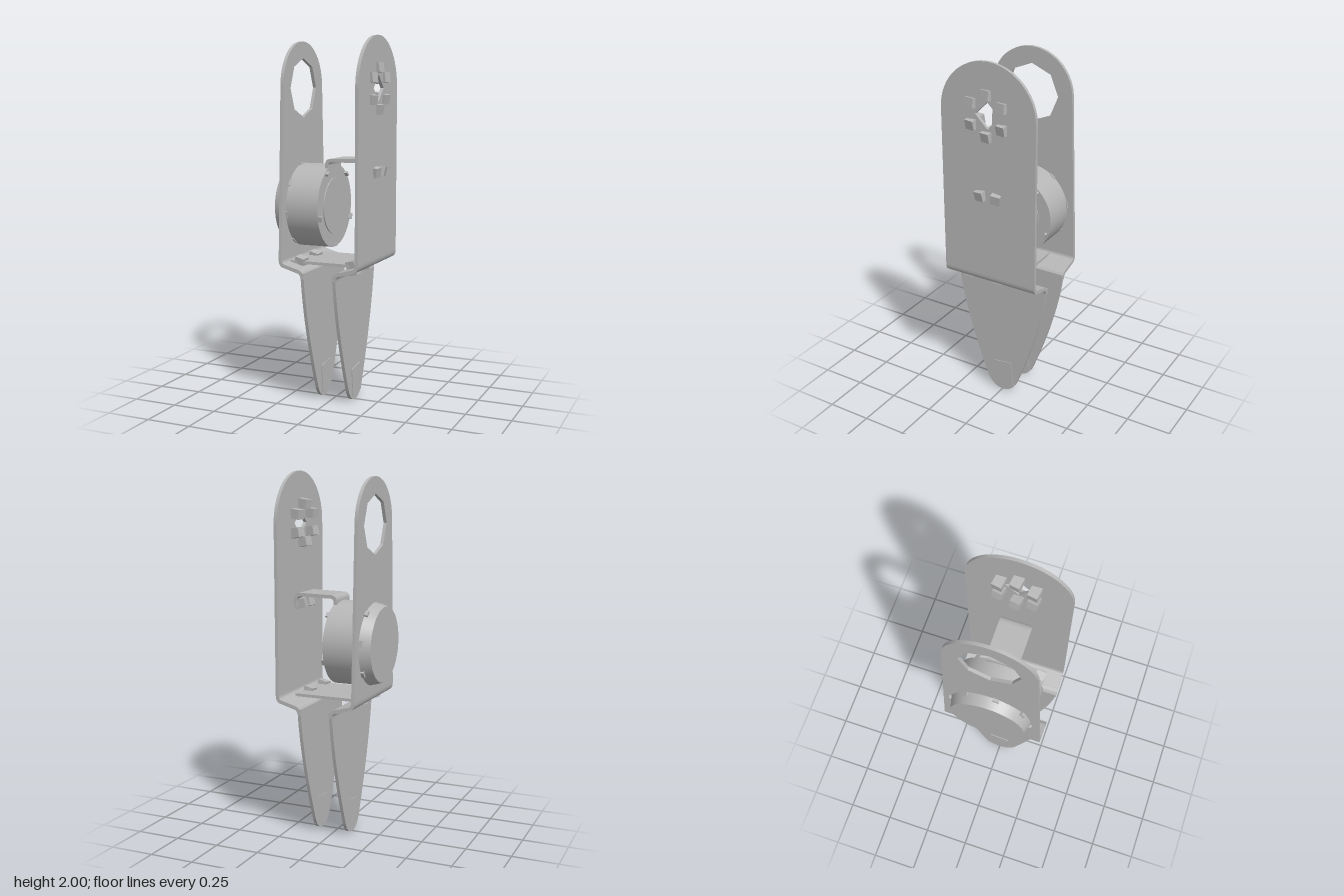
import * as THREE from 'three';

const metal = new THREE.MeshStandardMaterial({ color: 0xb6b6b6 });
metal.name = 'grey metal';

export function createModel() {
  const model = new THREE.Group();
  model.name = 'gripperBracket';

  const add = (geometry, name, x = 0, y = 0, z = 0) => {
    const mesh = new THREE.Mesh(geometry, metal);
    mesh.name = name;
    mesh.position.set(x, y, z);
    model.add(mesh);
    return mesh;
  };
  const box = (name, size, pos, rot = [0, 0, 0]) => {
    add(new THREE.BoxGeometry(...size), name, ...pos).rotation.set(...rot);
  };
  // Sheet lying in the z-y plane, from x to x + t (shape x runs along -z)
  const sheet = (shape, name, x, t) => {
    const g = new THREE.ExtrudeGeometry(shape, { depth: t, bevelEnabled: false, curveSegments: 28 });
    add(g.rotateY(Math.PI / 2), name, x);
  };
  const drumPart = (name, rLeft, rRight, x0, x1) => {
    const g = new THREE.CylinderGeometry(rRight, rLeft, x1 - x0, 64);
    add(g.rotateZ(-Math.PI / 2), name, (x0 + x1) / 2, 1.085, -0.003);
  };

  // Upright side plates with a round top and a polygonal hole
  const plate = (name, x, wBottom, r, yTop, holeSides, holeR) => {
    const s = new THREE.Shape();
    s.moveTo(-wBottom, 0.815);
    s.lineTo(wBottom, 0.815);
    s.lineTo(r, yTop - r);
    s.absarc(0, yTop - r, r, 0, Math.PI, false);
    s.closePath();
    const hole = [];
    for (let i = 0; i < holeSides; i++) {
      const a = -i / holeSides * Math.PI * 2;
      hole.push(new THREE.Vector2(holeR * Math.cos(a), 1.723 + holeR * Math.sin(a)));
    }
    s.holes.push(new THREE.Path(hole));
    sheet(s, name, x, 0.018);
  };
  plate('leftPlate', 0.225, 0.28, 0.28, 2.0, 4, 0.072);
  plate('rightPlate', -0.215, 0.28, 0.243, 1.972, 8, 0.16);

  // Bent shoulder that steps each plate inward to its finger
  const shoulder = (name, side, xPlate, xFin) => {
    const X = (base, d) => side * (base + d);
    const s = new THREE.Shape();
    s.moveTo(X(xPlate, 0), 0.815);
    s.quadraticCurveTo(X(xPlate, 0), 0.775, X(xPlate, -0.032), 0.771);
    s.lineTo(X(xFin, 0.03), 0.752);
    s.quadraticCurveTo(X(xFin, 0), 0.748, X(xFin, 0), 0.72);
    s.lineTo(X(xFin, -0.018), 0.72);
    s.quadraticCurveTo(X(xFin, -0.018), 0.765, X(xFin, 0.024), 0.771);
    s.lineTo(X(xPlate, -0.036), 0.79);
    s.quadraticCurveTo(X(xPlate, -0.018), 0.793, X(xPlate, -0.018), 0.815);
    s.closePath();
    const g = new THREE.ExtrudeGeometry(s, { depth: 0.56, bevelEnabled: false, curveSegments: 8 });
    add(g, name, 0, 0, -0.28);
  };
  shoulder('leftShoulder', 1, 0.243, 0.114);
  shoulder('rightShoulder', -1, 0.215, 0.087);

  // Tapered fingers with a rounded tip
  const fin = new THREE.Shape();
  fin.moveTo(-0.28, 0.75);
  fin.bezierCurveTo(-0.255, 0.53, -0.18, 0.29, -0.093, 0.073);
  fin.bezierCurveTo(-0.055, -0.02, 0.055, -0.02, 0.093, 0.073);
  fin.bezierCurveTo(0.18, 0.29, 0.255, 0.53, 0.28, 0.75);
  fin.closePath();
  for (const [side, x] of [['left', 0.105], ['right', -0.078]]) {
    sheet(fin, side + 'Finger', x - 0.009, 0.018);
    box(side + 'FingerPad', [0.026, 0.16, 0.115], [x, 0.115, -0.01], [0.12, 0, 0]);
  }

  // Floor plate between the shoulders
  box('floor', [0.39, 0.016, 0.32], [0.005, 0.792, 0.03]);

  // Motor drum through the right plate
  drumPart('drumBevel', 0.205, 0.228, -0.275, -0.205);
  drumPart('drumBody', 0.228, 0.228, -0.205, -0.012);
  drumPart('drumCap', 0.155, 0.155, -0.012, -0.006);

  // Small clips around both drum ends
  const clip = (name, a, r, size, x) => {
    box(name, size, [x, 1.085 + r * Math.cos(a), -0.003 + r * Math.sin(a)], [a, 0, 0]);
  };
  for (let i = 0; i < 8; i++) {
    clip('outerClip', 0.15 + i * Math.PI / 4, 0.222, [0.045, 0.022, 0.036], -0.21);
  }
  for (let i = 0; i < 5; i++) {
    clip('innerClip', 0.55 + i * Math.PI * 0.4, 0.215, [i ? 0.02 : 0.063, 0.012, 0.03], i ? -0.004 : -0.028);
  }

  // Arched bracket from the drum to the left plate
  const arch = new THREE.Shape();
  arch.moveTo(-0.03, 1.285);
  arch.lineTo(-0.03, 1.315);
  arch.quadraticCurveTo(-0.03, 1.345, 0.0, 1.347);
  arch.lineTo(0.185, 1.351);
  arch.quadraticCurveTo(0.224, 1.35, 0.226, 1.31);
  arch.lineTo(0.226, 1.27);
  arch.lineTo(0.207, 1.27);
  arch.lineTo(0.207, 1.305);
  arch.quadraticCurveTo(0.206, 1.33, 0.185, 1.331);
  arch.lineTo(0.005, 1.328);
  arch.quadraticCurveTo(-0.012, 1.327, -0.012, 1.31);
  arch.lineTo(-0.012, 1.285);
  arch.closePath();
  add(new THREE.ExtrudeGeometry(arch, { depth: 0.177, bevelEnabled: false, curveSegments: 8 }),
    'archBracket', 0, 0, -0.091);

  // Ring of tilted studs around the small hole, plus a pair below
  const studSize = [0.092, 0.052, 0.054];
  for (let i = 0; i < 6; i++) {
    const a = i * Math.PI / 3;
    const up = Math.cos(a);
    box('ringStud', studSize, [0.217, 1.723 + 0.105 * up, 0.105 * Math.sin(a)],
      [0, -0.17, up > 0 ? 0.13 : -0.2]);
  }
  box('lowerStud', studSize, [0.22, 1.287, 0.042], [0.1, -0.17, -0.18]);
  box('lowerStud', studSize, [0.22, 1.287, -0.046], [-0.1, 0.17, -0.18]);

  // Studs through the floor
  for (const [x, tilt] of [[0.168, 0.25], [-0.14, -0.25]]) {
    for (const z of [0.162, -0.02]) {
      box('floorStud', [0.052, 0.075, 0.055], [x, 0.782, z], [0.1, -0.08, tilt]);
    }
  }
  return model;
}
